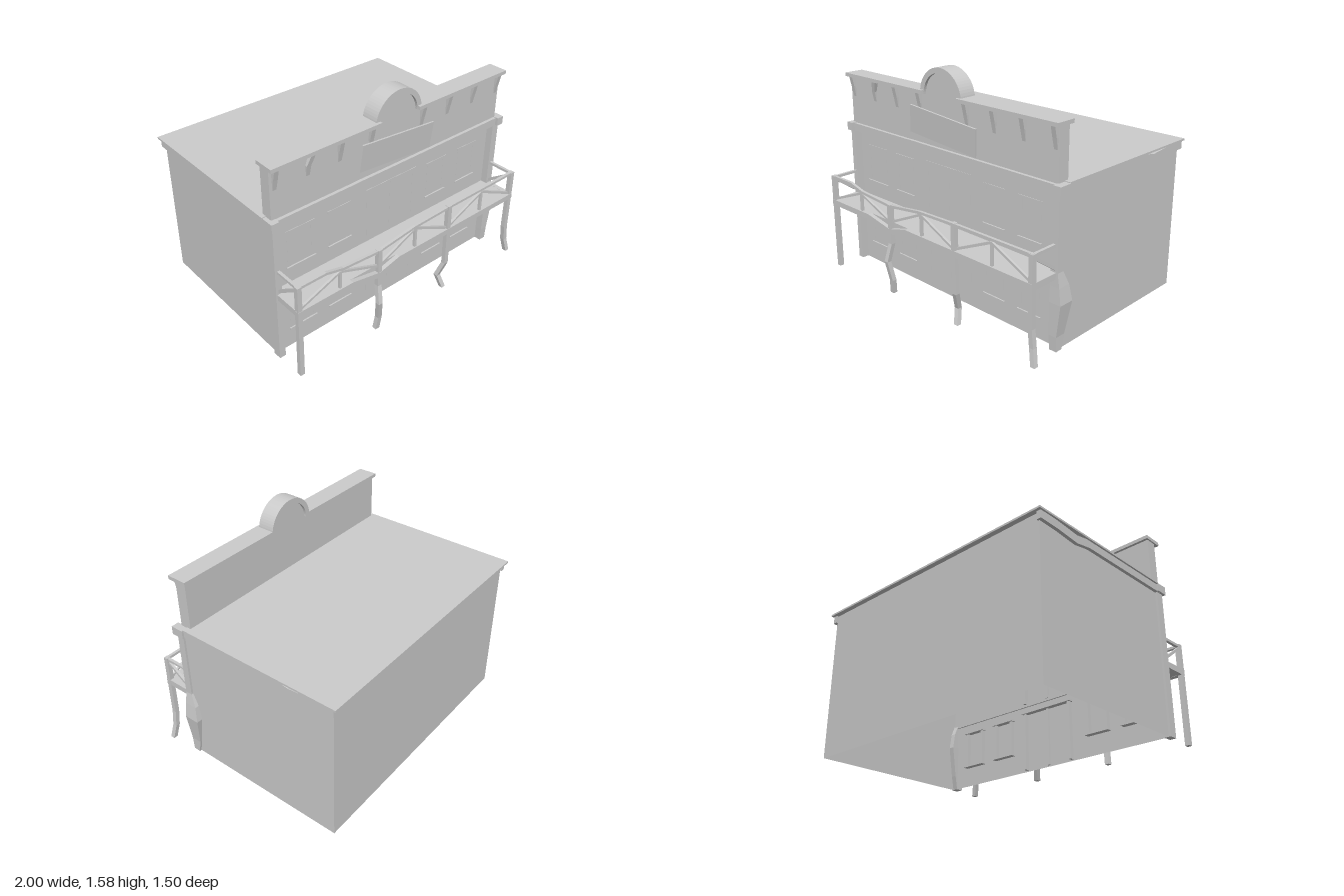
import * as THREE from 'three';

const mat = new THREE.MeshStandardMaterial({ color: 0xcccccc, flatShading: true, side: THREE.DoubleSide });
const V = (x, y, z) => new THREE.Vector3(x, y, z);

export function createModel() {
  const root = new THREE.Group();
  root.name = 'saloonBuilding';

  function add(name, geo) {
    const m = new THREE.Mesh(geo, mat);
    m.name = name;
    root.add(m);
    return m;
  }

  // Box given by its limits on each axis
  function box(name, x0, x1, y0, y1, z0, z1) {
    const m = add(name, new THREE.BoxGeometry(x1 - x0, y1 - y0, z1 - z0));
    m.position.set((x0 + x1) / 2, (y0 + y1) / 2, (z0 + z1) / 2);
    return m;
  }

  // Bent timber: rectangular section with half axes a, b carried along points [x, y, z, scaleA, scaleB]
  function beam(name, pts, a, b) {
    const first = V(...pts[0].slice(0, 3)), last = V(...pts[pts.length - 1].slice(0, 3));
    const flip = a.clone().cross(b).dot(last.sub(first)) < 0;
    const pos = [], idx = [];
    for (const [x, y, z, sa = 1, sb = 1] of pts) {
      let ring = [[-1, -1], [1, -1], [1, 1], [-1, 1]];
      if (flip) ring.reverse();
      for (const [i, j] of ring) {
        const p = V(x, y, z).addScaledVector(a, i * sa).addScaledVector(b, j * sb);
        pos.push(p.x, p.y, p.z);
      }
    }
    for (let s = 0; s < pts.length - 1; s++) {
      for (let k = 0; k < 4; k++) {
        const p = s * 4 + k, q = s * 4 + (k + 1) % 4;
        idx.push(p, q, q + 4, p, q + 4, p + 4);
      }
    }
    const e = (pts.length - 1) * 4;
    idx.push(0, 2, 1, 0, 3, 2, e, e + 1, e + 2, e, e + 2, e + 3);
    const g = new THREE.BufferGeometry();
    g.setAttribute('position', new THREE.Float32BufferAttribute(pos, 3));
    g.setIndex(idx);
    const flat = g.toNonIndexed();
    flat.computeVertexNormals();
    return add(name, flat);
  }

  // Straight brace between two points
  function brace(name, p, q, side, r) {
    const across = V(...q).sub(V(...p)).cross(side).normalize().multiplyScalar(r);
    beam(name, [p, q], across, side.clone().multiplyScalar(r));
  }

  function extrude(name, shape, z0, z1) {
    const g = new THREE.ExtrudeGeometry(shape, { depth: z1 - z0, bevelEnabled: false, curveSegments: 16 });
    add(name, g).position.z = z0;
  }

  // Walls: open shell without a floor
  const L = -0.965, R = 0.95, F = 0.47, B = -0.715, H = 1.05;
  function wall(name, w, x, z, turn) {
    const m = add(name, new THREE.PlaneGeometry(w, H));
    m.position.set(x, H / 2, z);
    m.rotation.y = turn;
  }
  wall('frontWall', R - L, (L + R) / 2, F, 0);
  wall('backWall', R - L, (L + R) / 2, B, Math.PI);
  wall('leftWall', F - B, R, (F + B) / 2, Math.PI / 2);
  wall('rightWall', F - B, L, (F + B) / 2, -Math.PI / 2);

  // Roof slab and eave trim with a warped stretch near the back
  box('roof', -1, 0.98, 1.05, 1.063, -0.75, 0.45);
  for (const x of [-0.972, 0.957]) {
    beam('sideTrim', [[x, 1.027, 0.5], [x, 1.027, -0.28], [x, 1.005, -0.4], [x, 1.021, -0.58], [x, 1.024, -0.73]],
      V(0.016, 0, 0), V(0, 0.028, 0));
    box('cornerCap', x - 0.024, x + 0.03, 1.0, 1.058, 0.45, 0.54);
  }
  beam('frontTrim', [[-0.95, 1.027, 0.49], [-0.37, 1.027, 0.49], [-0.31, 1.038, 0.49, 0.65], [-0.12, 1.027, 0.49], [0.93, 1.027, 0.49]],
    V(0, 0.028, 0), V(0, 0, 0.032));

  // Corner pilasters, one of them split and bulging
  box('rightPilaster', -0.98, -0.935, 0, 1.0, 0.46, 0.52);
  beam('leftPilaster', [
    [0.938, 0, 0.493], [0.938, 0.1, 0.485, 1.05, 1.5], [0.952, 0.32, 0.47, 1.6, 2.2],
    [0.945, 0.43, 0.477, 1.3, 1.8], [0.938, 0.52, 0.495], [0.938, 1.0, 0.495],
  ], V(0.027, 0, 0), V(0, 0, 0.025));

  // Window and door frames, mostly behind the wall with thin sills in front
  function frame(name, x0, x1, y0, y1) {
    const t = 0.02, zb = 0.44, zf = 0.471;
    box(name + 'Jamb', x0, x0 + t, y0, y1, zb, zf);
    box(name + 'Jamb', x1 - t, x1, y0, y1, zb, zf);
    box(name + 'Lintel', x0 - 0.01, x1 + 0.01, y1, y1 + 0.015, zb - 0.01, zf + 0.002);
  }
  for (const floor of [0, 0.49]) {
    for (const [x0, x1] of [[-0.85, -0.65], [-0.53, -0.36], [0.32, 0.49], [0.62, 0.79]]) {
      frame('window', x0, x1, 0.15 + floor, 0.4 + floor);
      box('windowSill', x0 - 0.01, x1 + 0.01, 0.139 + floor, 0.15 + floor, 0.43, 0.48);
    }
    frame('door', -0.22, 0.2, 0.01 + floor, 0.42 + floor);
    box('doorMeetingStile', -0.02, 0, 0.01 + floor, 0.42 + floor, 0.455, 0.471);
  }

  // False front with a round crest
  const cx = -0.012, cy = 1.39;
  const face = new THREE.Shape();
  face.moveTo(-0.97, 1.05);
  face.lineTo(0.94, 1.05);
  face.lineTo(0.94, 1.4);
  face.lineTo(cx + 0.16, 1.4);
  face.absarc(cx, cy, 0.16, 0, Math.PI, false);
  face.lineTo(-0.97, 1.4);
  extrude('falseFront', face, 0.42, 0.5);
  const arch = new THREE.Shape();
  arch.absarc(cx, cy, 0.19, 0, Math.PI, false);
  arch.absarc(cx, cy, 0.155, Math.PI, 0, true);
  extrude('crestArch', arch, 0.4, 0.52);
  box('falseFrontCap', -0.98, -0.17, 1.392, 1.417, 0.4, 0.54);
  box('falseFrontCap', 0.145, 0.957, 1.392, 1.417, 0.4, 0.54);

  // Tapered brackets below the cap, one slipped sideways
  for (const x of [-0.935, -0.69, -0.465, -0.225, 0.205, 0.44, 0.675, 0.912]) {
    const slip = x === -0.69 ? 0.012 : 0;
    beam('capBracket', [[x - slip, 1.25, 0.5, 0.8, 0.1], [x - slip, 1.32, 0.506, 1, 0.9], [x + slip, 1.392, 0.515, 1, 1.6]],
      V(0.016, 0, 0), V(0, 0, 0.01));
  }

  // Crooked blank signboard
  const sign = add('signBoard', new THREE.BoxGeometry(0.605, 0.188, 0.012));
  sign.position.set(-0.01, 1.182, 0.511);
  sign.rotation.set(0.06, 0, -0.085);

  // Balcony deck with a sagging front beam
  const zp = 0.707;
  box('balconyDeck', -0.965, 0.945, 0.482, 0.52, 0.46, 0.695);
  beam('balconyBeam', [[-0.972, 0.5, zp], [-0.55, 0.5, zp], [-0.325, 0.457, zp], [-0.16, 0.5, zp], [0.952, 0.5, zp]],
    V(0, 0.02, 0), V(0, 0, 0.018));

  // Crooked porch posts, each a path from the ground to the handrail
  const posts = [
    [[-0.955, 0, zp], [-0.955, 0.7, zp]],
    [[-0.332, 0, 0.705], [-0.322, 0.1, 0.715], [-0.34, 0.24, 0.738], [-0.325, 0.37, zp], [-0.325, 0.65, zp]],
    [[0.303, 0, 0.7], [0.278, 0.1, 0.667], [0.302, 0.22, zp], [0.297, 0.7, zp]],
    [[0.972, 0, 0.722], [0.948, 0.11, zp], [0.935, 0.23, zp], [0.935, 0.7, zp]],
  ];
  for (const path of posts) beam('porchPost', path, V(0.016, 0, 0), V(0, 0, 0.016));

  // Handrail, short uprights and cross braces
  beam('handrail', [
    [-0.965, 0.69, zp], [-0.75, 0.69, zp], [-0.62, 0.658, zp], [-0.325, 0.638, zp],
    [-0.02, 0.678, zp], [0.295, 0.688, zp], [0.945, 0.693, zp],
  ], V(0, 0.009, 0), V(0, 0, 0.01));
  const Z = V(0, 0, 1), X = V(1, 0, 0);
  const bays = [[-0.94, -0.64, -0.34, 0.65], [-0.31, -0.01, 0.28, 0.67], [0.31, 0.62, 0.92, 0.675]];
  for (const [a, mid, b, top] of bays) {
    box('railUpright', mid - 0.009, mid + 0.009, 0.51, top, zp - 0.009, zp + 0.009);
    brace('railBrace', [a, 0.53, zp], [mid, top - 0.005, zp], Z, 0.008);
    brace('railBrace', [mid, top - 0.005, zp], [b, 0.53, zp], Z, 0.008);
  }

  // Balcony ends
  for (const x of [-0.955, 0.935]) {
    box('endHandrail', x - 0.01, x + 0.01, 0.68, 0.698, 0.47, zp);
    brace('endBrace', [x, 0.665, 0.69], [x, 0.53, 0.5], X, 0.009);
    box('endBoard', x - 0.016, x + 0.016, 0.479, 0.521, 0.47, zp);
  }

  return root;
}
